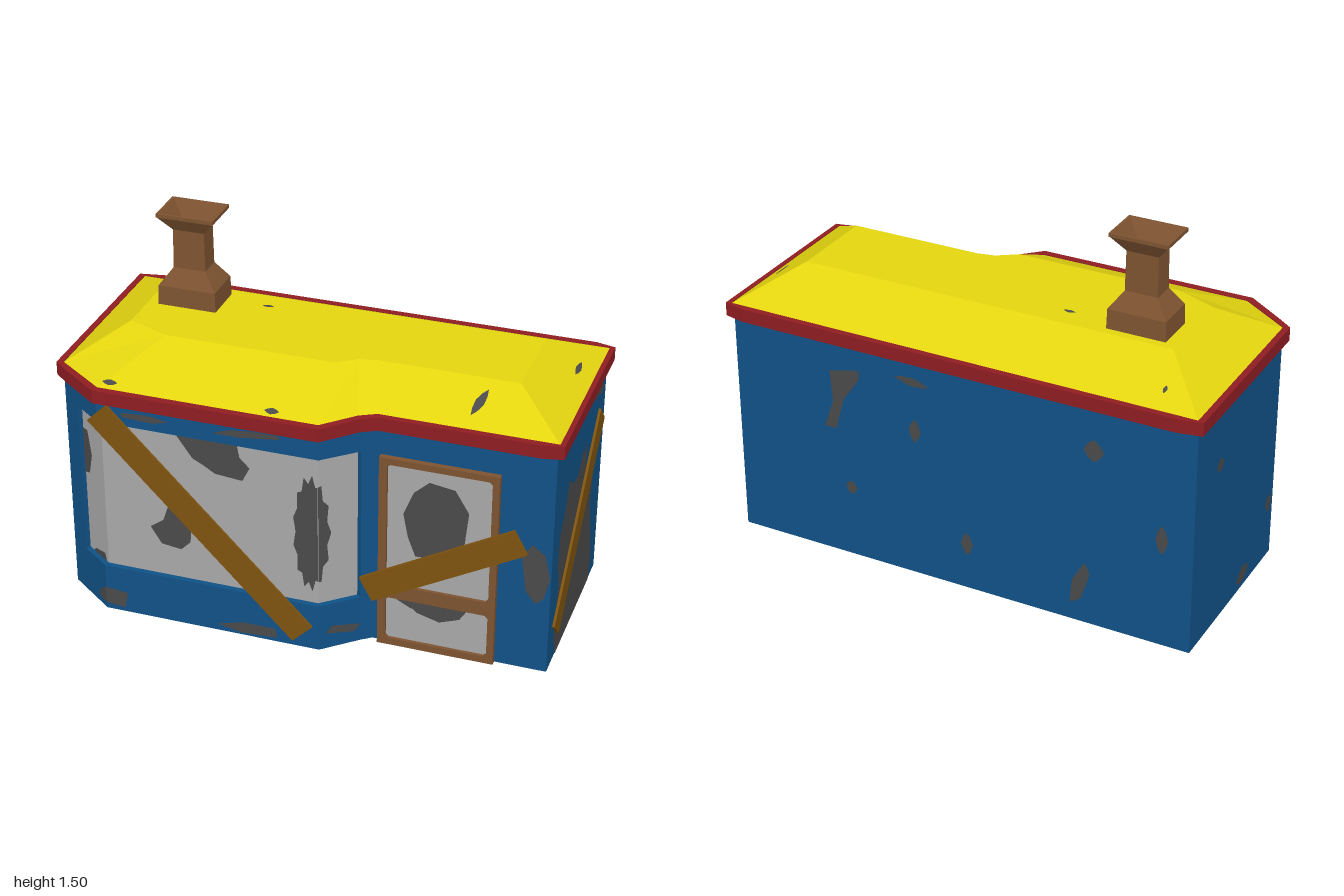
import * as THREE from 'three';

const mat = (name, color, side = THREE.DoubleSide) =>
  Object.assign(new THREE.MeshStandardMaterial({ color, side }), { name });

export function createModel() {
  const blue = mat('blue wall', 0x115287), yellow = mat('yellow roof', 0xe4d50f), red = mat('red trim', 0x8f1d22),
    glass = mat('grey glass', 0xa9a9a9), worn = mat('worn grey', 0x4a4a4a),
    brown = mat('brown wood', 0x7f5431), plank = mat('plank wood', 0x7f530f);
  const model = new THREE.Group();
  const add = (name, geo, material, parent = model) => {
    const m = new THREE.Mesh(geo, material);
    m.name = name;
    parent.add(m);
    return m;
  };
  const group = (name) => {
    const g = new THREE.Group();
    g.name = name;
    model.add(g);
    return g;
  };

  // Flat-shaded band between two matching paths
  const band = (a, b) => {
    const v = [];
    for (let i = 0; i + 1 < a.length; i++)
      v.push(...a[i], ...a[i + 1], ...b[i + 1], ...a[i], ...b[i + 1], ...b[i]);
    const g = new THREE.BufferGeometry();
    g.setAttribute('position', new THREE.Float32BufferAttribute(v, 3));
    g.computeVertexNormals();
    return g;
  };
  const at = (path, y) => path.map(([x, z]) => [x, y, z]);
  const close = (p) => [...p, p[0]];
  const shapeOf = (pts) => new THREE.Shape(pts.map(([x, y]) => new THREE.Vector2(x, y)));
  // Horizontal polygon from x,z points
  const flat = (pts, y) => new THREE.ShapeGeometry(shapeOf(pts.map(([x, z]) => [x, -z]))).rotateX(-Math.PI / 2).translate(0, y, 0);

  // Thin painted patch placed by a mapping from 2D to 3D
  const patch = (name, pts, map, parent) => {
    const g = new THREE.ShapeGeometry(shapeOf(pts));
    const p = g.attributes.position;
    for (let i = 0; i < p.count; i++) p.setXYZ(i, ...map(p.getX(i), p.getY(i)));
    g.computeVertexNormals();
    add(name, g, worn, parent);
  };
  // Keeps the part of a polygon where sign * (u - limit) >= 0
  const clip = (pts, limit, sign) => {
    const out = [];
    pts.forEach((p, i) => {
      const q = pts[(i + 1) % pts.length], dp = sign * (p[0] - limit), dq = sign * (q[0] - limit);
      if (dp >= 0) out.push(p);
      if (dp * dq < 0) out.push([limit, p[1] + (q[1] - p[1]) * dp / (dp - dq)]);
    });
    return out;
  };
  // Wraps a patch on both faces of an upright path; u runs along x (axis 0) or z (axis 1)
  const paint = (name, path, axis, pts, parent) => {
    for (let i = 0; i + 1 < path.length; i++) {
      const a = path[i], b = path[i + 1];
      const lo = Math.min(a[axis], b[axis]), hi = Math.max(a[axis], b[axis]);
      const piece = clip(clip(pts, lo, 1), hi, -1);
      if (piece.length < 3) continue;
      const dx = b[0] - a[0], dz = b[1] - a[1], len = Math.hypot(dx, dz);
      for (const off of [0.003, -0.003])
        patch(name, piece, (u, y) => {
          const t = (u - a[axis]) / (b[axis] - a[axis]);
          return [a[0] + dx * t - dz / len * off, y, a[1] + dz * t + dx / len * off];
        }, parent);
    }
  };

  // Walls, open underneath, with window and door openings
  const front = [[-0.975, 0.32], [-0.9, 0.376], [-0.78, 0.465], [0.11, 0.465], [0.24, 0.35],
    [0.28, 0.32], [0.305, 0.32], [0.77, 0.32], [0.975, 0.32]];
  const right = [[0.975, 0.32], [0.975, -0.465]];
  const back = [[0.975, -0.465], [-0.975, -0.465]];
  const left = [[-0.975, -0.465], [-0.975, 0.32]];
  const bay = front.slice(1, 5), top = 0.97;
  const walls = group('walls');
  const wall = (name, path, y0, y1) => add(name, band(at(path, y0), at(path, y1)), blue, walls);
  wall('wallUnderWindow', bay, 0, 0.2);
  wall('wallOverWindow', bay, 0.85, top);
  wall('bayCorner', front.slice(0, 2), 0, top);
  wall('wallBesideDoor', front.slice(4, 7), 0, top);
  wall('wallOverDoor', front.slice(6, 8), 0.835, top);
  wall('wallRightOfDoor', front.slice(7), 0, top);
  wall('rightWall', right, 0, top);
  wall('backWall', back, 0, top);
  wall('leftWall', left, 0, top);

  // Recessed bay window
  const pane = [[-0.89, 0.358], [-0.773, 0.443], [0.1, 0.443], [0.222, 0.337]];
  const windowGroup = group('bayWindow');
  add('windowGlass', band(at(pane, 0.2), at(pane, 0.85)), glass, windowGroup);
  add('windowSill', band(at(bay, 0.2), at(pane, 0.2)), blue, windowGroup);
  add('windowHead', band(at(pane, 0.85), at(bay, 0.85)), blue, windowGroup);
  for (const i of [0, 3])
    add('windowJamb', band(at([bay[i], pane[i]], 0.2), at([bay[i], pane[i]], 0.85)), blue, windowGroup);

  // Door: frame with two chamfered openings and panes
  const door = group('door');
  const frame = shapeOf([[0.305, 0], [0.77, 0], [0.77, 0.835], [0.305, 0.835]]);
  for (const [y0, y1] of [[0.03, 0.218], [0.278, 0.808]]) {
    const x0 = 0.337, x1 = 0.743, c = 0.012;
    frame.holes.push(new THREE.Path([[x0 + c, y0], [x0, y0 + c], [x0, y1 - c], [x0 + c, y1], [x1 - c, y1],
      [x1, y1 - c], [x1, y0 + c], [x1 - c, y0]].map(([x, y]) => new THREE.Vector2(x, y))));
  }
  add('doorFrame', new THREE.ExtrudeGeometry(frame, { depth: 0.026, bevelEnabled: false }).translate(0, 0, 0.317), brown, door);
  add('doorPanes', new THREE.BoxGeometry(0.42, 0.79, 0.006).translate(0.54, 0.42, 0.327), glass, door);

  // Eave trim ring
  const eave = [[-1, 0.33], [-0.93, 0.385], [-0.78, 0.495], [0.12, 0.495], [0.24, 0.375], [0.3, 0.342], [0.92, 0.342],
    [1, 0.325], [1, -0.483], [0.92, -0.502], [-0.9, -0.502], [-1, -0.483]];
  const base = [[-0.975, 0.32], [-0.77, 0.465], [0.11, 0.465], [0.225, 0.35], [0.29, 0.315], [0.98, 0.315],
    [0.98, -0.475], [-0.975, -0.475]];
  const ring = shapeOf(eave.map(([x, z]) => [x, -z]));
  ring.holes.push(new THREE.Path(base.map(([x, z]) => new THREE.Vector2(x, -z))));
  add('eaveTrim', new THREE.ExtrudeGeometry(ring, { depth: 0.055, bevelEnabled: false })
    .rotateX(-Math.PI / 2).translate(0, 0.945, 0), red);

  // Hipped roof with a flat top
  const ridge = [[-0.77, 0.13], [-0.6, 0.2], [0.08, 0.2], [0.16, 0.145], [0.23, 0.13], [0.78, 0.13],
    [0.78, -0.24], [-0.77, -0.24]];
  const roof = group('roof');
  add('roofSlopes', band(at(close(base), 0.997), at(close(ridge), 1.12)), yellow, roof);
  add('roofTop', flat(ridge, 1.12), yellow, roof);

  // Chimney: stacked rectangular sections, hollow at the top
  const chimney = group('chimney');
  const sections = [[0.12, 0.086, 1.1], [0.117, 0.084, 1.2], [0.066, 0.047, 1.27], [0.064, 0.046, 1.43],
    [0.113, 0.083, 1.488], [0.117, 0.087, 1.49], [0.117, 0.087, 1.505], [0.108, 0.078, 1.505], [0.053, 0.036, 1.43]];
  const rect = ([w, d]) => [[-w, d], [w, d], [w, -d], [-w, -d]].map(([x, z]) => [x - 0.605, z - 0.12]);
  for (let i = 0; i + 1 < sections.length; i++)
    add('chimneySection', band(at(close(rect(sections[i])), sections[i][2]),
      at(close(rect(sections[i + 1])), sections[i + 1][2])), brown, chimney);
  add('chimneyFlue', flat(rect(sections[8]), 1.43), worn, chimney);

  // Boards nailed over the window, door and right wall
  const board = (name, length, width, angle, thick = 0.01) =>
    add(name, new THREE.BoxGeometry(length, width, thick).rotateZ(angle), plank);
  board('windowBoard', 1.165, 0.112, -0.791).position.set(-0.365, 0.48, 0.472);
  board('doorBoard', 0.685, 0.108, 0.507, 0.016).position.set(0.562, 0.414, 0.355);
  const sideBoard = board('sideBoard', 0.875, 0.113, 0.79);
  sideBoard.rotation.y = Math.PI / 2;
  sideBoard.position.set(0.984, 0.45, -0.072);

  // Worn patches
  const wear = group('wornPatches');
  const ragged = (cx, cy, rx, ry, n = 14, tilt = 0) => Array.from({ length: n }, (_, i) => {
    const t = i / n * Math.PI * 2, r = i % 2 ? 0.88 : 1.04;
    const x = rx * r * Math.cos(t), y = ry * r * Math.sin(t);
    return [cx + x * Math.cos(tilt) - y * Math.sin(tilt), cy + x * Math.sin(tilt) + y * Math.cos(tilt)];
  });
  for (const p of [
    [[-0.47, 0.848], [-0.4, 0.75], [-0.36, 0.73], [-0.31, 0.7], [-0.2, 0.69], [-0.17, 0.75], [-0.21, 0.79], [-0.22, 0.848]],
    [[-0.5, 0.54], [-0.46, 0.49], [-0.41, 0.48], [-0.42, 0.37], [-0.46, 0.33], [-0.54, 0.34], [-0.585, 0.41], [-0.53, 0.45]],
    ragged(0.07, 0.51, 0.067, 0.25, 26),
    [[-0.888, 0.75], [-0.86, 0.75], [-0.84, 0.65], [-0.86, 0.56], [-0.888, 0.55]],
    [[-0.86, 0.202], [-0.78, 0.202], [-0.79, 0.235], [-0.85, 0.22]],
  ]) paint('glassWear', pane, 0, p, wear);
  for (const p of [
    [[0.4, 0.6], [0.44, 0.7], [0.5, 0.755], [0.6, 0.74], [0.655, 0.65], [0.64, 0.5], [0.6, 0.43], [0.45, 0.42], [0.42, 0.5]],
    [[0.36, 0.217], [0.46, 0.165], [0.55, 0.14], [0.63, 0.17], [0.66, 0.217]],
  ]) paint('doorWear', [[0.3, 0.327], [0.77, 0.327]], 0, p.map(([x, y]) => [x, y]), wear);
  add('doorWearFront', new THREE.ShapeGeometry([
    shapeOf([[0.4, 0.6], [0.44, 0.7], [0.5, 0.755], [0.6, 0.74], [0.655, 0.65], [0.64, 0.5], [0.6, 0.43], [0.45, 0.42], [0.42, 0.5]]),
    shapeOf([[0.4, 0.217], [0.46, 0.165], [0.55, 0.14], [0.63, 0.17], [0.66, 0.217]])]).translate(0, 0, 0.333), worn, wear);
  for (const p of [
    [[0.86, 0.5], [0.9, 0.56], [0.95, 0.52], [0.972, 0.42], [0.95, 0.33], [0.92, 0.3], [0.88, 0.35]],
    [[-0.31, 0.89], [-0.2, 0.89], [-0.04, 0.91], [-0.05, 0.925], [-0.15, 0.925], [-0.24, 0.915]],
    ragged(-0.59, 0.9, 0.1, 0.015, 10),
    [[-0.82, 0.03], [-0.7, 0.02], [-0.685, 0.09], [-0.78, 0.1], [-0.82, 0.06]],
    [[-0.31, 0.03], [-0.2, 0.01], [-0.06, 0.02], [-0.07, 0.06], [-0.2, 0.06]],
    [[0.13, 0.07], [0.22, 0.05], [0.24, 0.08], [0.15, 0.1]],
  ]) paint('frontWear', front, 0, p, wear);
  for (const p of [
    [[0.2, 0.004], [0.235, 0.1], [0.2, 0.33], [0.23, 0.43], [0.22, 0.55], [0.16, 0.62], [0.11, 0.73], [0.04, 0.68],
      [-0.04, 0.67], [-0.1, 0.73], [-0.17, 0.73], [-0.17, 0.64], [-0.26, 0.63], [-0.32, 0.55], [-0.29, 0.4], [-0.34, 0.22],
      [-0.37, 0.1], [-0.35, 0.004]],
    [[-0.25, 0.87], [-0.31, 0.9], [-0.3, 0.94], [-0.38, 0.94], [-0.36, 0.9], [-0.43, 0.86], [-0.38, 0.84], [-0.33, 0.87]],
  ]) paint('rightWear', right, 1, p, wear);
  for (const p of [
    [[0.58, 0.56], [0.53, 0.56], [0.49, 0.7], [0.42, 0.8], [0.42, 0.84], [0.55, 0.81], [0.54, 0.68]],
    ragged(0.19, 0.85, 0.07, 0.018, 8, 0.1), ragged(0.18, 0.64, 0.025, 0.05, 8), ragged(-0.57, 0.76, 0.04, 0.045, 8),
    ragged(-0.52, 0.17, 0.03, 0.1, 10, 0.3), ragged(-0.04, 0.2, 0.025, 0.05, 8), ragged(0.47, 0.31, 0.025, 0.03, 8),
    ragged(-0.85, 0.46, 0.025, 0.06, 8),
  ]) paint('backWear', back, 0, p, wear);
  for (const p of [ragged(0.03, 0.06, 0.06, 0.035, 8, 0.2), ragged(-0.25, 0.7, 0.03, 0.03, 8), ragged(0.27, 0.25, 0.03, 0.04, 8)])
    paint('leftWear', left, 1, p, wear);
  // Roof patches, each with the height rule of its slope
  const slope = (d) => 0.997 + d * 0.123 + 0.004;
  for (const [p, height] of [
    [ragged(0.65, 0.22, 0.018, 0.05, 8, 0.4), (x, z) => slope((0.315 - z) / 0.185)],
    [ragged(-0.08, 0.442, 0.028, 0.013, 8), (x, z) => slope((0.465 - z) / 0.265)],
    [ragged(-0.73, 0.437, 0.03, 0.012, 8), (x, z) => slope((0.465 - z) / 0.265)],
    [ragged(-0.31, -0.15, 0.024, 0.01, 8), () => 1.123],
    [ragged(0.92, -0.2, 0.01, 0.05, 8), (x) => slope((0.98 - x) / 0.2)],
    [ragged(-0.81, -0.395, 0.008, 0.015, 8), (x, z) => slope((z + 0.475) / 0.235)],
  ]) patch('roofWear', p, (x, z) => [x, height(x, z), z], wear);
  return model;
}
